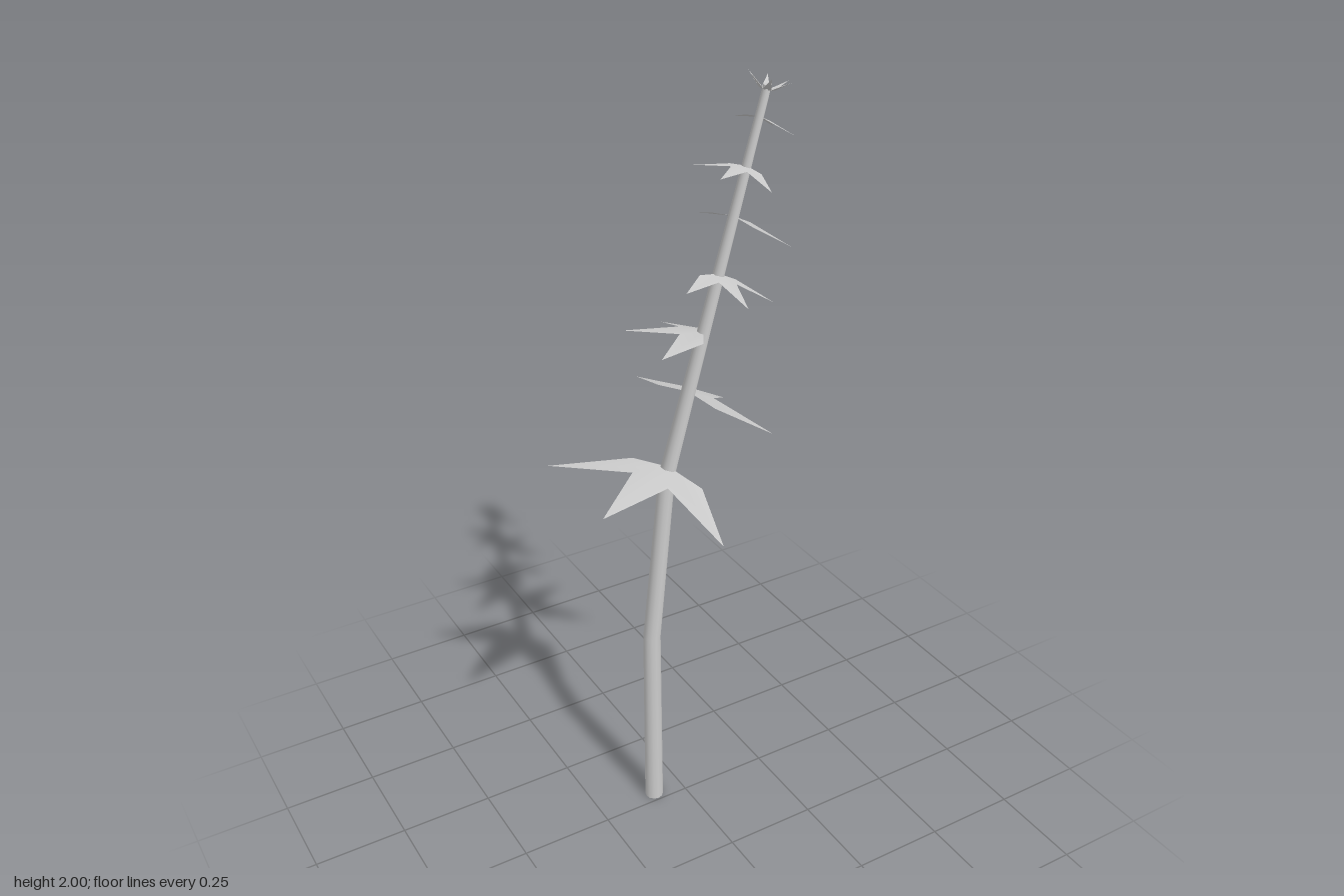
import * as THREE from 'three';

const Z = -0.03; // depth of the stem axis
const LEAN = 0.3; // tilt of the leaves on the upper stem
// stem rings from foot to tip: x, y, radius
const RINGS = [[-0.085, 0, 0.025], [-0.085, 0.55, 0.023], [-0.036, 1.03, 0.021], [0.233, 1.965, 0.01]];

const stemMaterial = new THREE.MeshStandardMaterial({ color: 0xcccccc });
const leafMaterial = new THREE.MeshStandardMaterial({ color: 0xcccccc, side: THREE.DoubleSide });

// x of the upper stem axis at a given height
function stemX(y) {
  const [, , a, b] = RINGS;
  return THREE.MathUtils.mapLinear(y, a[1], b[1], a[0], b[0]);
}

// a cylinder whose rings are moved onto the bent, tapering axis
function makeStem() {
  const geo = new THREE.CylinderGeometry(1, 1, 3, 12, 3);
  const p = geo.attributes.position;
  for (let i = 0; i < p.count; i++) {
    const [x, y, r] = RINGS[Math.round(p.getY(i) + 1.5)];
    p.setXYZ(i, x + p.getX(i) * r, y, Z + p.getZ(i) * r);
  }
  const mesh = new THREE.Mesh(geo, stemMaterial);
  mesh.name = 'stem';
  return mesh;
}

// fan of pointed lobes, 60 degrees apart; tips sit at height tipY, notches at notchY (unit length)
function leafGeometry(lobes, tipY, notchY) {
  const pos = [0, 0, 0], index = [];
  for (let i = 0; i <= lobes * 2; i++) {
    const a = (i - lobes) * Math.PI / 6;
    const tip = i % 2 === 1;
    const r = tip ? 1 : 0.35;
    pos.push(r * Math.cos(a), tip ? tipY : notchY, r * Math.sin(a));
    if (i > 0) index.push(0, i + 1, i);
  }
  const geo = new THREE.BufferGeometry();
  geo.setAttribute('position', new THREE.Float32BufferAttribute(pos, 3));
  geo.setIndex(index);
  geo.computeVertexNormals();
  return geo;
}

// leaf square to the leaning stem; heading in degrees from +x towards +z
function makeLeaf(name, geo, y, size, heading) {
  const holder = new THREE.Group();
  holder.name = name;
  holder.position.set(stemX(y), y, Z);
  holder.rotation.z = -LEAN;
  const mesh = new THREE.Mesh(geo, leafMaterial);
  mesh.name = name + 'Blade';
  mesh.scale.setScalar(size);
  mesh.rotation.y = -THREE.MathUtils.degToRad(heading);
  holder.add(mesh);
  return holder;
}

export function createModel() {
  const plant = new THREE.Group();
  plant.name = 'plant';
  plant.add(makeStem());

  // three-lobed leaves up the stem: height, length, heading
  const leafGeo = leafGeometry(3, -0.24, -0.06);
  const leaves = [
    [1.05, 0.293, 150], [1.245, 0.233, -30], [1.395, 0.19, 210], [1.535, 0.148, 90],
    [1.67, 0.15, -30], [1.785, 0.12, 150], [1.895, 0.095, -30],
  ];
  leaves.forEach(([y, size, heading], i) => plant.add(makeLeaf('leaf' + (i + 1), leafGeo, y, size, heading)));

  // small upturned rosette at the tip
  plant.add(makeLeaf('tipRosette', leafGeometry(6, 0.6, 0.1), 1.95, 0.055, 30));
  return plant;
}
